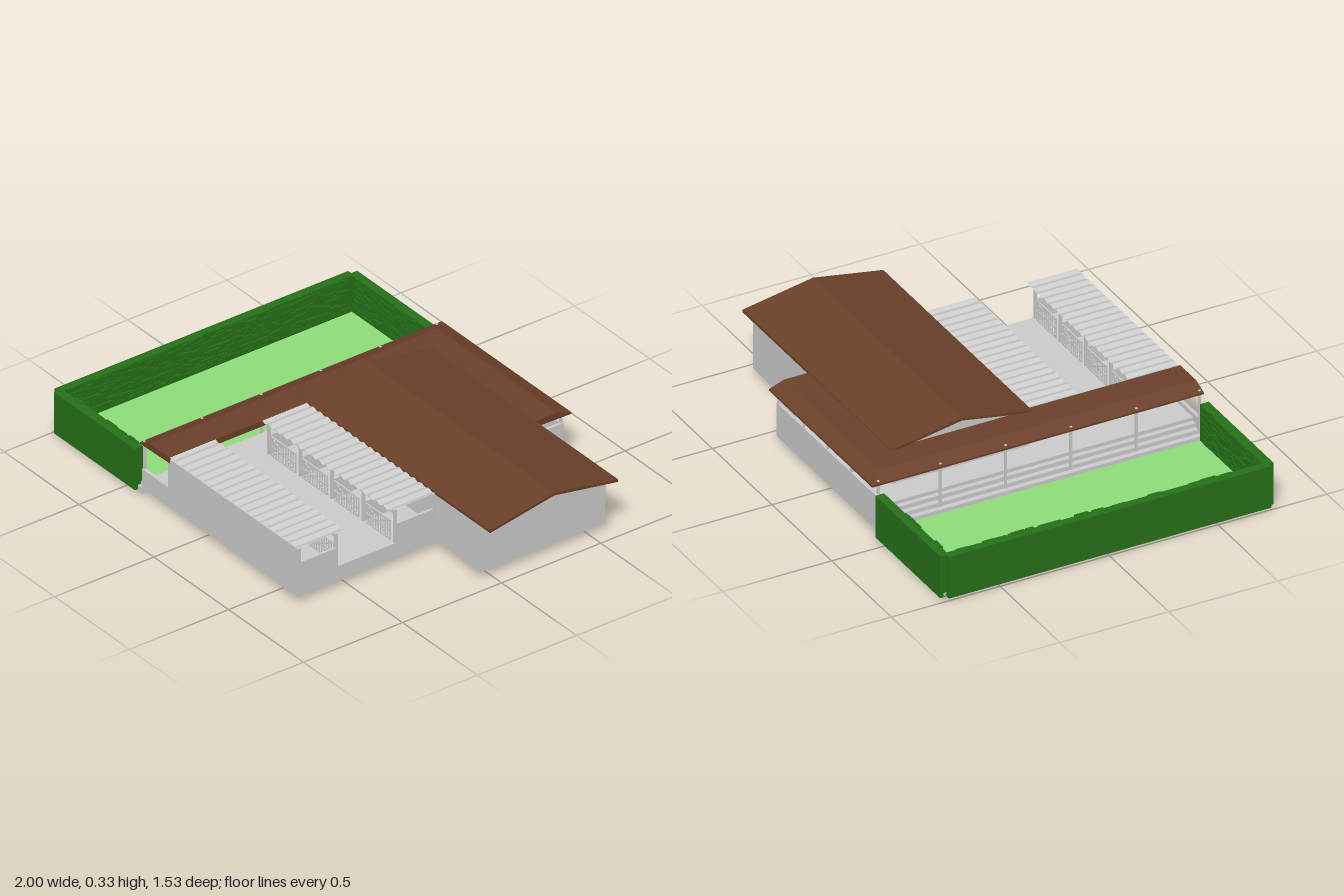
import * as THREE from 'three';
import { ConvexGeometry } from 'three/addons/geometries/ConvexGeometry.js';

const mat = (color) => new THREE.MeshStandardMaterial({ color, flatShading: true, side: THREE.DoubleSide });

export function createModel() {
  const root = new THREE.Group();
  root.name = 'stableComplex';
  const grey = mat(0xcccccc), green = mat(0x267018), grass = mat(0x8fdc7a), brown = mat(0x6b4029);

  const group = (name) => {
    const g = new THREE.Group();
    g.name = name;
    root.add(g);
    return g;
  };
  const add = (parent, name, geometry, material = grey) => {
    const m = new THREE.Mesh(geometry, material);
    m.name = name;
    parent.add(m);
    return m;
  };
  // Box given by its limits on each axis
  const box = (parent, name, x0, x1, y0, y1, z0, z1, material = grey) => {
    const m = add(parent, name, new THREE.BoxGeometry(x1 - x0, y1 - y0, z1 - z0), material);
    m.position.set((x0 + x1) / 2, (y0 + y1) / 2, (z0 + z1) / 2);
    return m;
  };
  // Profile of [z, y] points swept along x
  const prismX = (parent, name, points, x0, x1, material) => {
    const shape = new THREE.Shape(points.map(([z, y]) => new THREE.Vector2(-z, y)));
    const g = new THREE.ExtrudeGeometry(shape, { depth: x1 - x0, bevelEnabled: false });
    g.rotateY(Math.PI / 2).translate(x0, 0, 0);
    return add(parent, name, g, material);
  };
  // Profile of [x, y] points swept along z
  const prismZ = (parent, name, points, z0, z1, material) => {
    const shape = new THREE.Shape(points.map(([x, y]) => new THREE.Vector2(x, y)));
    const g = new THREE.ExtrudeGeometry(shape, { depth: z1 - z0, bevelEnabled: false });
    g.translate(0, 0, z0);
    return add(parent, name, g, material);
  };

  // Garden slab, lawn and hedges
  const garden = group('garden');
  box(garden, 'gardenSlab', -0.98, -0.41, 0, 0.03, -0.75, 0.75);
  box(garden, 'lawn', -0.965, -0.435, 0.028, 0.034, -0.73, 0.73, grass);
  box(garden, 'sideHedge', -1, -0.963, 0.01, 0.205, -0.735, 0.745, green);
  for (const s of [-1, 1])
    box(garden, 'endHedge', -0.98, -0.437, 0.01, 0.205, s < 0 ? -0.765 : 0.725, s < 0 ? -0.725 : 0.765, green);

  // Clipped leaf blocks roughen the inner faces and tops of the hedges
  let seed = 7;
  const rnd = () => (seed = (seed * 16807) % 2147483647) / 2147483647;
  const leaves = (count, place) => {
    const mesh = new THREE.InstancedMesh(new THREE.BoxGeometry(1, 1, 1), green, count);
    const m = new THREE.Matrix4(), q = new THREE.Quaternion();
    for (let i = 0; i < count; i++) {
      const [p, s] = place();
      mesh.setMatrixAt(i, m.compose(new THREE.Vector3(...p), q, new THREE.Vector3(...s)));
    }
    mesh.name = 'hedgeLeaves';
    garden.add(mesh);
  };
  leaves(420, () => [[-0.962, 0.045 + rnd() * 0.16, -0.69 + rnd() * 1.38],
    [0.006 + rnd() * 0.008, 0.01, 0.03 + rnd() * 0.04]]);
  for (const s of [-1, 1])
    leaves(160, () => [[-0.93 + rnd() * 0.46, 0.045 + rnd() * 0.16, s * 0.725],
      [0.03 + rnd() * 0.04, 0.01, 0.006 + rnd() * 0.008]]);

  // Raised floor with steps down to the lawn
  const base = group('foundation');
  box(base, 'floor', -0.36, 0.63, 0.03, 0.1, 0.05, 0.75);
  box(base, 'walkwayFloor', -0.36, 0.42, 0.03, 0.1, -0.75, 0.05);
  for (let i = 0; i < 3; i++)
    box(base, 'step', -0.43 + i * 0.024, -0.355, 0.03, 0.048 + i * 0.018, -0.725, 0.74);
  box(base, 'frontStepCheek', -0.41, -0.23, 0.03, 0.12, 0.735, 0.75);
  box(base, 'backStepCheek', -0.435, -0.36, 0.03, 0.19, -0.75, -0.735);

  // Main hall with gabled ends
  const hall = group('mainHall');
  prismX(hall, 'hallBody', [[0.05, 0.03], [0.05, 0.26], [-0.265, 0.315], [-0.58, 0.26], [-0.58, 0.03]], -0.235, 0.925, grey);
  prismX(hall, 'hallRoof', [[0.058, 0.258], [0.058, 0.27], [-0.265, 0.327], [-0.588, 0.27],
    [-0.588, 0.258], [-0.265, 0.315]], -0.25, 1, brown);

  // Veranda and back walkway roofs, joined by a hipped corner
  const veranda = group('veranda');
  prismZ(veranda, 'verandaRoof', [[-0.42, 0.235], [-0.42, 0.243], [-0.355, 0.267], [-0.222, 0.267], [-0.222, 0.24]],
    -0.7, 0.752, brown);
  prismX(veranda, 'walkwayRoof', [[-0.57, 0.24], [-0.57, 0.267], [-0.7, 0.267], [-0.77, 0.243], [-0.77, 0.235]],
    -0.355, 0.445, brown);
  add(veranda, 'roofCorner', new ConvexGeometry([
    [-0.42, 0.235, -0.7], [-0.42, 0.243, -0.7], [-0.42, 0.235, -0.77], [-0.42, 0.243, -0.77],
    [-0.355, 0.235, -0.77], [-0.355, 0.243, -0.77], [-0.355, 0.267, -0.7], [-0.355, 0.235, -0.7],
  ].map((p) => new THREE.Vector3(...p))), brown);

  // Posts carrying the veranda and walkway
  for (const z of [-0.735, -0.45, -0.15, 0.15, 0.45, 0.74])
    box(veranda, 'verandaPost', -0.41, -0.4, 0.03, 0.25, z - 0.005, z + 0.005);
  for (const x of [-0.2, 0, 0.2, 0.41])
    box(veranda, 'walkwayPost', x - 0.005, x + 0.005, 0.1, 0.25, -0.748, -0.738);
  box(veranda, 'walkwayParapet', -0.36, 0.42, 0.1, 0.187, -0.75, -0.738);
  box(veranda, 'walkwayEndParapet', 0.408, 0.42, 0.1, 0.187, -0.75, -0.58);

  // Corrugated sheet with ribs running along z
  const corrugated = (z0, z1) => {
    const g = new THREE.PlaneGeometry(0.86, z1 - z0, 144, 1);
    g.rotateX(-Math.PI / 2).translate(0.207, 0.264, (z0 + z1) / 2);
    const p = g.attributes.position;
    for (let i = 0; i < p.count; i++)
      p.setY(i, p.getY(i) + 0.004 * Math.sin((p.getX(i) * Math.PI * 2) / 0.048));
    g.computeVertexNormals();
    return g;
  };

  // Barred stall gate with a diagonal brace
  const gate = (parent, x0, x1, z) => {
    const g = new THREE.Group();
    g.name = 'stallGate';
    parent.add(g);
    for (const y of [0.108, 0.15, 0.195]) box(g, 'gateRail', x0, x1, y - 0.003, y + 0.003, z - 0.003, z + 0.003);
    for (let i = 0; i <= 10; i++) {
      const x = x0 + ((x1 - x0) * i) / 10;
      box(g, 'gateBar', x - 0.002, x + 0.002, 0.105, 0.198, z - 0.002, z + 0.002);
    }
    for (const s of [-1, 1]) {
      const brace = box(g, 'gateBrace', x0, x1, 0.15, 0.154, z - 0.002, z + 0.002);
      brace.rotation.z = s * Math.atan2(0.085, x1 - x0);
    }
  };

  // Two facing rows of four stalls
  const rows = [
    { name: 'frontStalls', z0: 0.52, z1: 0.75, aisle: 0.545 },
    { name: 'rearStalls', z0: 0.055, z1: 0.285, aisle: 0.26 },
  ];
  for (const { name, z0, z1, aisle } of rows) {
    const row = group(name);
    const a = Math.min(aisle, name === 'frontStalls' ? aisle : z0), b = name === 'frontStalls' ? z1 - 0.004 : aisle;
    add(row, 'corrugatedRoof', corrugated(z0, z1));
    for (const z of [a + 0.006, b - 0.006])
      box(row, 'roofBeam', -0.22, 0.63, 0.236, 0.258, z - 0.005, z + 0.005);
    for (let i = 0; i <= 4; i++) {
      const x = -0.225 + i * 0.211;
      box(row, 'stallPartition', x, x + 0.011, 0.1, 0.19, a, b);
      for (const z of [a + 0.006, b - 0.006])
        box(row, 'stallPost', x, x + 0.011, 0.1, 0.258, z - 0.006, z + 0.006);
      if (i < 4) gate(row, x + 0.03, x + 0.192, aisle);
    }
  }

  // Outer wall closing the front row
  box(group('outerWall'), 'frontWall', -0.235, 0.632, 0.03, 0.258, 0.738, 0.75);

  return root;
}
